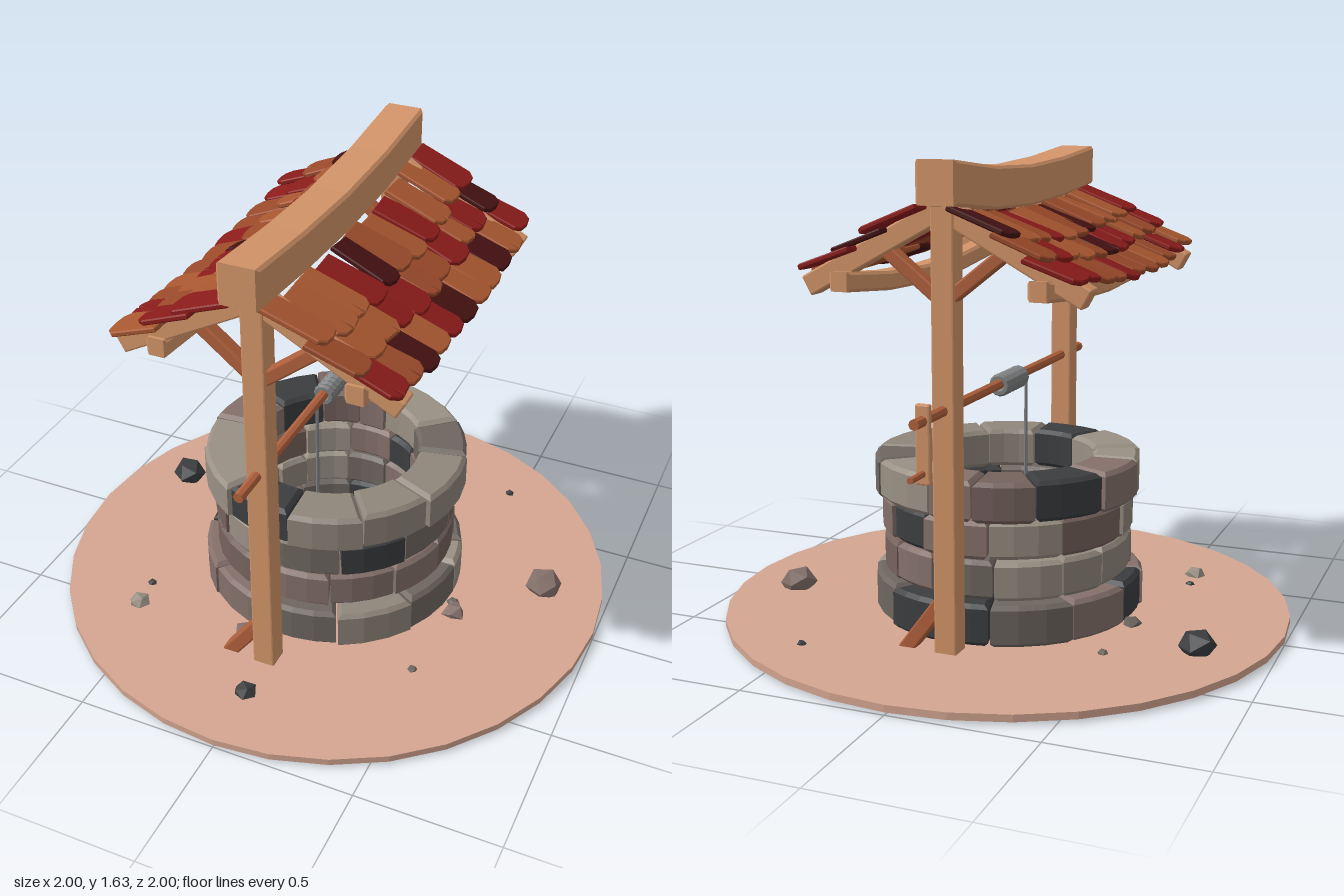
import * as THREE from 'three';
import { RoundedBoxGeometry } from 'three/addons/geometries/RoundedBoxGeometry.js';

const mat = (color) => new THREE.MeshStandardMaterial({ color, flatShading: true });
const WOOD = mat(0xd29468), DARK_WOOD = mat(0xb0603c), ROPE = mat(0x7d7f80);
const STONES = [0x8f867b, 0x84706a, 0x6e6660, 0x3b3d3f, 0x9a9084, 0x75625d].map(mat);
const TILES = [0x8a1c1a, 0xa85730, 0x8a1c1a, 0xa85730, 0x9a4a2a, 0x451112].map(mat);

// Small seeded generator
let seed = 7;
const rnd = () => (seed = (seed * 16807) % 2147483647) / 2147483647;
const vary = (a) => (rnd() * 2 - 1) * a;
const pick = (list) => list[Math.floor(rnd() * list.length)];

const v = (x, y, z) => new THREE.Vector3(x, y, z);
// How far the old roof droops at a given z
const sag = (z) => 0.042 * (1 - Math.min(1, (z / 0.62) ** 2));

function add(parent, name, geometry, material, x = 0, y = 0, z = 0) {
  const mesh = new THREE.Mesh(geometry, material);
  mesh.name = name;
  mesh.position.set(x, y, z);
  parent.add(mesh);
  return mesh;
}

// Square timber running between two points
function beam(parent, name, a, b, w, d, material = WOOD) {
  const dir = b.clone().sub(a), mid = a.clone().add(b).multiplyScalar(0.5);
  const m = add(parent, name, new RoundedBoxGeometry(w, dir.length(), d, 1, 0.006), material, mid.x, mid.y, mid.z);
  m.quaternion.setFromUnitVectors(v(0, 1, 0), dir.normalize());
  return m;
}

// Round bar lying along z
function bar(parent, name, r, z0, z1, x, y, material) {
  const geo = new THREE.CylinderGeometry(r, r, z1 - z0, 8).rotateX(Math.PI / 2);
  return add(parent, name, geo, material, x, y, (z0 + z1) / 2);
}

// Drooping timber along z: side profile extruded across its width
function sagBeam(parent, name, x, top, width, height, z0, z1) {
  const b = 0.01, upper = [], lower = [];
  for (let i = 0; i <= 4; i++) {
    const z = z0 + ((z1 - z0) * i) / 4;
    upper.push(new THREE.Vector2(z, top - sag(z)));
    lower.unshift(new THREE.Vector2(z, top - height - sag(z)));
  }
  const geo = new THREE.ExtrudeGeometry(new THREE.Shape([...lower, ...upper]), {
    depth: width - 2 * b, bevelSize: b, bevelThickness: b, bevelOffset: -b, bevelSegments: 1,
  });
  geo.translate(0, 0, b - width / 2).rotateY(-Math.PI / 2);
  return add(parent, name, geo, WOOD, x, 0, 0);
}

// Bevelled block filling part of a ring
function ringStone(parent, a0, a1, inner, outer, y, h) {
  const b = 0.014, pts = [], n = 3;
  for (let i = 0; i <= n; i++) {
    const a = a0 + ((a1 - a0) * i) / n;
    pts.push(new THREE.Vector2(Math.cos(a) * outer, Math.sin(a) * outer));
  }
  for (let i = n; i >= 0; i--) {
    const a = a0 + ((a1 - a0) * i) / n;
    pts.push(new THREE.Vector2(Math.cos(a) * inner, Math.sin(a) * inner));
  }
  const geo = new THREE.ExtrudeGeometry(new THREE.Shape(pts), {
    depth: h - 2 * b, bevelSize: b, bevelThickness: b, bevelOffset: -b, bevelSegments: 1,
  });
  geo.translate(0, 0, b).rotateX(-Math.PI / 2);
  add(parent, 'wallStone', geo, pick(STONES), 0, y, 0);
}

// Shingle with a rounded lower edge at y = 0 and sometimes a split
function shingleGeometry(w, l) {
  const s = new THREE.Shape(), h = w / 2;
  s.moveTo(-h, 0.03);
  s.lineTo(-h * 0.65, 0.006);
  if (rnd() < 0.35) {
    const c = vary(h * 0.4);
    s.lineTo(c - 0.006, 0);
    s.lineTo(c, 0.05);
    s.lineTo(c + 0.006, 0);
  } else s.lineTo(0, 0);
  s.lineTo(h * 0.65, 0.006);
  s.lineTo(h, 0.03);
  s.lineTo(h * 0.92, l);
  s.lineTo(-h * 0.92, l);
  s.closePath();
  return new THREE.ExtrudeGeometry(s, {
    depth: 0.01, bevelSize: 0.004, bevelThickness: 0.004, bevelOffset: -0.004, bevelSegments: 1,
  });
}

function addRock(parent, x, y, z, r, material) {
  const geo = new THREE.IcosahedronGeometry(r, 0);
  const p = geo.attributes.position, k = rnd() * 9;
  for (let i = 0; i < p.count; i++) {
    const q = v(0, 0, 0).fromBufferAttribute(p, i);
    q.multiplyScalar(1 + 0.16 * Math.sin(q.x * 90 + k) * Math.cos(q.z * 70 + q.y * 50 + k));
    p.setXYZ(i, q.x, q.y * 0.85, q.z);
  }
  add(parent, 'rock', geo, material, x, y, z).rotation.y = rnd() * 6;
}

export function createModel() {
  const model = new THREE.Group();
  const group = (name) => {
    const g = new THREE.Group();
    g.name = name;
    model.add(g);
    return g;
  };

  add(model, 'ground', new THREE.CylinderGeometry(1, 1, 0.024, 32), mat(0xd4a590), 0, 0.034, 0);

  // Stone wall: four uneven rings
  const wall = group('wall');
  [[0.045, 0.143, 0.475], [0.193, 0.133, 0.437], [0.331, 0.13, 0.437], [0.465, 0.138, 0.465]].forEach(([y, h, r], row) => {
    const weights = Array.from({ length: 12 }, () => 0.65 + rnd() * 0.8);
    const total = weights.reduce((a, b) => a + b);
    let a = row * 0.9;
    for (const w of weights) {
      const step = (w / total) * Math.PI * 2;
      ringStone(wall, a + 0.008, a + step - 0.008, 0.3 + vary(0.008), r + vary(0.008), y + vary(0.003), h);
      a += step;
    }
  });

  // Posts with rafters, upper braces and one foot brace each
  const frame = group('frame');
  for (const [z, foot] of [[0.573, -1], [-0.527, 1]]) {
    beam(frame, 'post', v(-0.005, 0.04, z), v(-0.005, 1.52, z), 0.078, 0.08);
    beam(frame, 'footBrace', v(foot * 0.15, 0.03, z), v(foot * 0.01, 0.22, z), 0.05, 0.06, DARK_WOOD);
    for (const s of [-1, 1]) {
      beam(frame, 'rafter', v(0, 1.485, z), v(s * 0.475, 1.225, z), 0.07, 0.068);
      beam(frame, 'rafterBrace', v(s * 0.01, 1.2, z), v(s * 0.23, 1.375, z), 0.045, 0.05, DARK_WOOD);
    }
  }
  sagBeam(frame, 'ridgeBeam', -0.01, 1.638, 0.14, 0.14, -0.62, 0.68);
  for (const s of [-1, 1]) sagBeam(frame, 'purlin', s * 0.335, 1.285, 0.075, 0.065, -0.6, 0.62);

  // Shingles: three overlapping rows on each slope
  const roof = group('roof');
  const rows = [[0.5, 0.2], [0.365, 0.2], [0.245, 0.23]];
  for (const s of [-1, 1]) {
    rows.forEach(([t, len], r) => {
      for (let c = 0; c < 11; c++) {
        const z = -0.565 + c * 0.117 + (r === 1 ? 0.012 : -0.004) + vary(0.008);
        const a = 0.5 - 0.13 + vary(0.03), d = t + vary(0.014);
        const up = v(-s * Math.cos(a), Math.sin(a), 0), normal = v(s * Math.sin(a), Math.cos(a), 0);
        const across = up.clone().cross(normal);
        const m = add(roof, 'shingle', shingleGeometry(0.122 + vary(0.012), len), pick(TILES));
        m.quaternion.setFromRotationMatrix(new THREE.Matrix4().makeBasis(across, up, normal));
        m.rotateZ(vary(0.07));
        m.rotateY(vary(0.08));
        m.position.set(s * (0.05 + d * 0.875), 1.525 - d * 0.485 - sag(z), z);
      }
    });
  }

  // Winch: axle, wound rope and crank
  const winch = group('winch');
  bar(winch, 'axle', 0.018, -0.78, 0.74, -0.005, 0.853, DARK_WOOD);
  for (let i = 0; i < 8; i++) {
    add(winch, 'ropeCoil', new THREE.TorusGeometry(0.027, 0.013, 6, 12), ROPE, -0.005, 0.848, 0.088 - i * 0.025);
  }
  add(winch, 'rope', new THREE.CylinderGeometry(0.006, 0.006, 0.6, 6), ROPE, -0.033, 0.55, 0.09);
  beam(winch, 'crankArm', v(-0.005, 0.65, -0.71), v(-0.005, 0.905, -0.71), 0.05, 0.022);
  bar(winch, 'crankHandle', 0.011, -0.81, -0.68, -0.005, 0.687, DARK_WOOD);

  // Scattered rocks: x, z, radius, stone shade
  const rocks = group('rocks');
  [
    [-0.76, -0.24, 0.066, 3], [0.77, -0.16, 0.065, 1], [-0.56, 0.51, 0.04, 4], [0, 0.76, 0.042, 3],
    [0.51, 0.1, 0.042, 1], [0.49, 0.05, 0.025, 2], [0.47, -0.66, 0.018, 3], [-0.57, 0.4, 0.018, 3],
    [-0.49, -0.08, 0.036, 2], [0.48, 0.43, 0.018, 2], [-0.48, -0.37, 0.02, 2], [-0.14, 0.49, 0.036, 1],
  ].forEach(([x, z, r, shade]) => addRock(rocks, x, 0.045 + Math.max(0, r - 0.045), z, r, STONES[shade]));

  return model;
}
